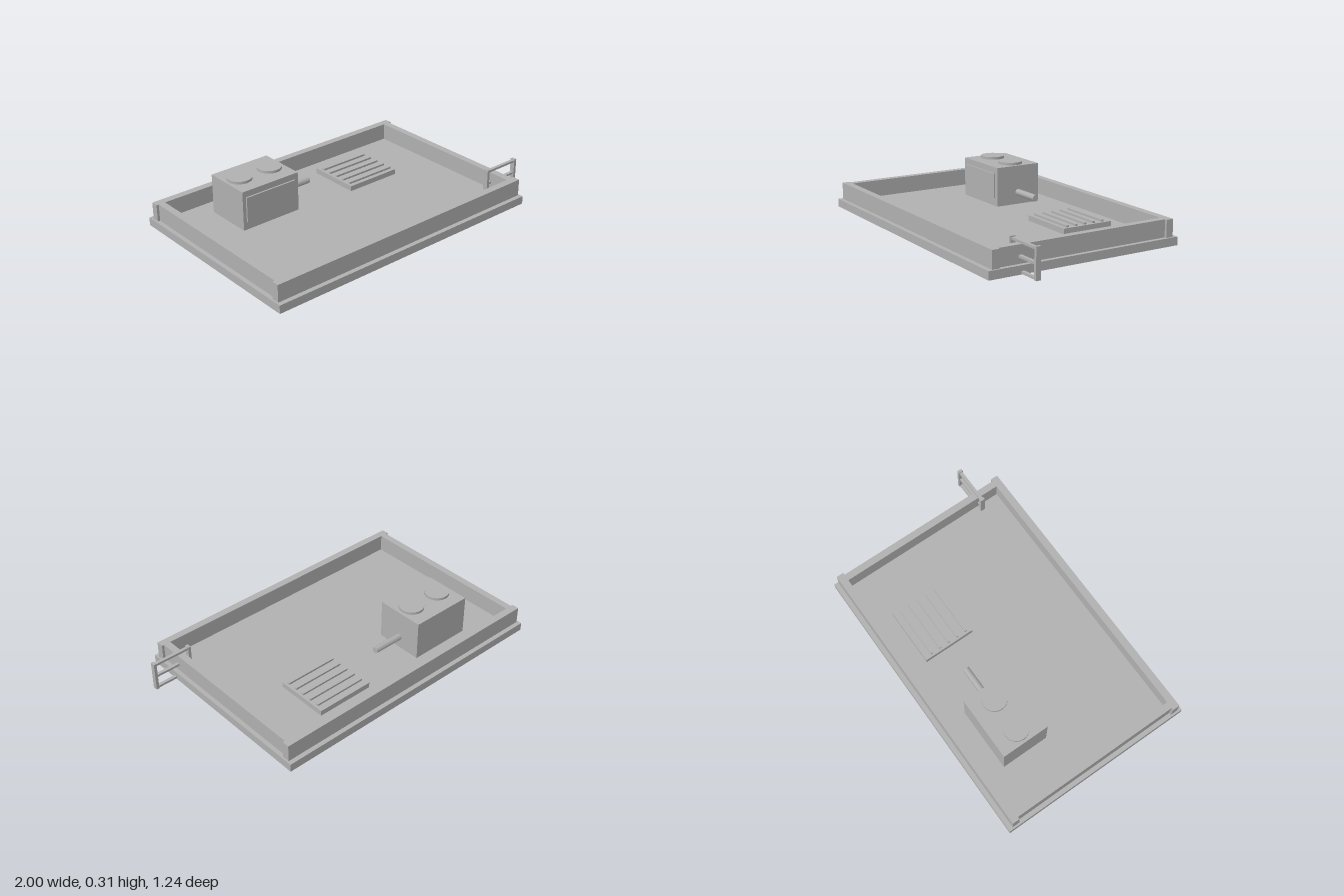
import * as THREE from 'three';

const grey = new THREE.MeshStandardMaterial({ color: 0xb0b0b0 });
grey.name = 'concrete grey';

// Box given by its low and high corners
function box(parent, name, [x0, y0, z0], [x1, y1, z1]) {
  const mesh = new THREE.Mesh(new THREE.BoxGeometry(x1 - x0, y1 - y0, z1 - z0), grey);
  mesh.position.set((x0 + x1) / 2, (y0 + y1) / 2, (z0 + z1) / 2);
  mesh.name = name;
  parent.add(mesh);
  return mesh;
}

function cylinder(parent, name, radius, length, sides, [x, y, z]) {
  const mesh = new THREE.Mesh(new THREE.CylinderGeometry(radius, radius, length, sides), grey);
  mesh.position.set(x, y, z);
  mesh.name = name;
  parent.add(mesh);
  return mesh;
}

function group(parent, name) {
  const g = new THREE.Group();
  g.name = name;
  parent.add(g);
  return g;
}

export function createModel() {
  const model = new THREE.Group();
  model.name = 'flatRoof';
  const floor = 0.05;

  // Roof slab
  box(model, 'roofSlab', [-1, 0, -0.622], [0.855, floor, 0.622]);

  // Parapet: long walls overhang the slightly recessed short walls
  const parapet = group(model, 'parapet');
  const top = 0.155;
  box(parapet, 'frontWall', [-0.988, floor, 0.548], [0.844, top, 0.594]);
  box(parapet, 'backWall', [-0.988, floor, -0.594], [0.844, top, -0.548]);
  box(parapet, 'rightWall', [-0.973, floor, -0.548], [-0.93, top, 0.548]);
  box(parapet, 'leftWall', [0.785, floor, -0.548], [0.829, top, 0.548]);

  // Air-conditioning unit with front panel, two fan caps and a pipe
  const unit = group(model, 'airUnit');
  box(unit, 'airUnitBody', [-0.675, floor, -0.433], [-0.278, 0.295, -0.131]);
  box(unit, 'airUnitPanel', [-0.653, 0.1, -0.131], [-0.304, 0.257, -0.121]);
  for (const x of [-0.583, -0.37]) {
    cylinder(unit, 'fanCap', 0.075, 0.016, 24, [x, 0.303, -0.284]);
  }
  const pipe = cylinder(unit, 'pipe', 0.021, 0.2, 8, [-0.18, 0.125, -0.284]);
  pipe.geometry.rotateY(Math.PI / 8);
  pipe.rotation.z = Math.PI / 2;

  // Low vent with raised slats
  const vent = group(model, 'roofVent');
  box(vent, 'ventBase', [0.112, floor, -0.439], [0.478, 0.083, -0.107]);
  for (let i = 0; i < 5; i++) {
    const z = -0.388 + i * 0.0615;
    box(vent, 'ventSlat', [0.127, 0.083, z - 0.008], [0.463, 0.095, z + 0.008]);
  }

  // Ladder hooked over the left wall: two posts joined by three rungs
  const ladder = group(model, 'ladder');
  for (const x of [0.743, 0.982]) {
    box(ladder, 'ladderPost', [x, 0.004, 0.4], [x + 0.018, 0.185, 0.43]);
  }
  for (const y of [0.012, 0.092, 0.172]) {
    box(ladder, 'ladderRung', [0.761, y - 0.007, 0.405], [0.982, y + 0.007, 0.425]);
  }

  return model;
}
